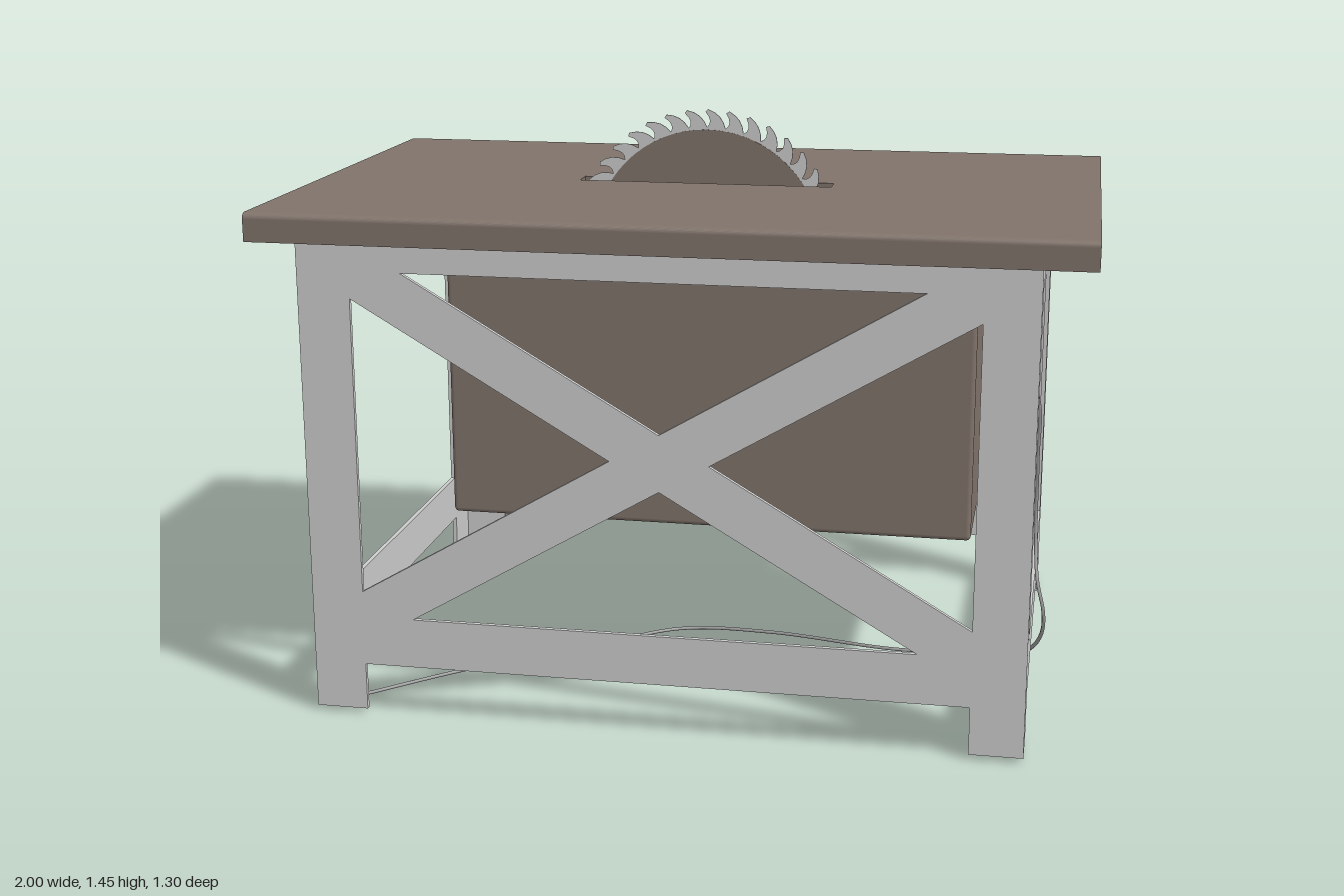
import * as THREE from 'three';
import { RoundedBoxGeometry } from 'three/addons/geometries/RoundedBoxGeometry.js';

const mat = (color) => new THREE.MeshStandardMaterial({ color });
const V = (x, y, z) => new THREE.Vector3(x, y, z);
const poly = (pts) => new THREE.Shape(pts.map(([x, y]) => new THREE.Vector2(x, y)));
const extrude = (shape, depth) =>
  new THREE.ExtrudeGeometry(shape, { depth, bevelEnabled: false, curveSegments: 8 });

function add(parent, name, geometry, material, x = 0, y = 0, z = 0) {
  const mesh = new THREE.Mesh(geometry, material);
  mesh.name = name;
  mesh.position.set(x, y, z);
  parent.add(mesh);
  return mesh;
}

function group(parent, name) {
  const g = new THREE.Group();
  g.name = name;
  parent.add(g);
  return g;
}

// Rectangle outline with rounded corners, centred on the origin
function roundRect(w, h, r) {
  const s = new THREE.Shape();
  const x = w / 2 - r, y = h / 2 - r;
  s.absarc(x, y, r, 0, Math.PI / 2);
  s.absarc(-x, y, r, Math.PI / 2, Math.PI);
  s.absarc(-x, -y, r, Math.PI, Math.PI * 1.5);
  s.absarc(x, -y, r, Math.PI * 1.5, Math.PI * 2);
  s.closePath();
  return s;
}

export function createModel() {
  const model = new THREE.Group();
  model.name = 'tableSaw';
  const steel = mat(0xcccccc);
  const brown = mat(0x80736a);
  const yellow = mat(0xd0960f);
  const red = mat(0xa82018);
  const dark = mat(0x2a1a18);
  const rubber = mat(0x999999);

  // Table top: sheet with a blade slot and folded lips at front and back
  const table = group(model, 'tableTop');
  const sheet = poly([[-1, -0.635], [1, -0.635], [1, 0.635], [-1, 0.635]]);
  sheet.holes.push(poly([[-0.33, -0.027], [-0.33, 0.032], [0.325, 0.032], [0.325, -0.027]]));
  add(table, 'topSheet', extrude(sheet, 0.01).rotateX(-Math.PI / 2), brown, 0, 1.255, 0);
  const lip = new THREE.Shape();
  lip.moveTo(0.65, 1.195);
  lip.lineTo(0.65, 1.25);
  lip.absarc(0.635, 1.25, 0.015, 0, Math.PI / 2);
  lip.lineTo(0.635, 1.255);
  lip.lineTo(0.641, 1.25);
  lip.lineTo(0.641, 1.195);
  for (const s of [-1, 1]) {
    const g = extrude(lip, 2).translate(0, 0, -1).rotateY(-s * Math.PI / 2);
    add(table, s > 0 ? 'frontLip' : 'backLip', g, brown);
  }

  // Stand: angle-section legs, flat rails and crossed braces
  const frame = group(model, 'frame');
  const X = 0.877, Z = 0.637, W = 0.13, T = 0.012, BOTTOM = 0.015, TOP = 1.254;
  for (const sx of [-1, 1]) {
    for (const sz of [-1, 1]) {
      const pts = [[0, 0], [W, 0], [W, T], [T, T], [T, W], [0, W]]
        .map(([a, b]) => [sx * (X - a), sz * (Z - b)]);
      const g = extrude(poly(pts), TOP - BOTTOM).rotateX(-Math.PI / 2);
      add(frame, 'leg', g, steel, 0, BOTTOM, 0);
    }
  }
  const rails = [[0.135, 0.26], [1.13, TOP]];
  for (const s of [-1, 1]) {
    for (const [lo, hi] of rails) {
      add(frame, 'longRail', new THREE.BoxGeometry(2 * (X - W), hi - lo, T), steel,
        0, (lo + hi) / 2, s * (Z - T / 2));
      add(frame, 'sideRail', new THREE.BoxGeometry(T, hi - lo, 2 * (Z - W)), steel,
        s * (X - T / 2), (lo + hi) / 2, 0);
    }
  }
  // Cross outline: one quarter mirrored around the middle
  const quarter = [[0.12, 0], [0.748, 0.37], [0.748, 0.435], [0.62, 0.435], [0, 0.07]];
  const flip = (sx, sy) => quarter.map(([x, y]) => [sx * x, sy * y]);
  const cross = [
    ...flip(1, 1),
    ...flip(-1, 1).reverse().slice(1),
    ...flip(-1, -1).slice(1),
    ...flip(1, -1).reverse().slice(1, -1),
  ];
  for (const s of [-1, 1]) {
    add(frame, s > 0 ? 'frontCrossBrace' : 'backCrossBrace',
      extrude(poly(cross), T), steel, 0, 0.695, s * (Z - T / 2) - T / 2);
  }

  // Machine housing: open-topped box hung under the table
  const housing = group(model, 'housing');
  const CX = 0.055;
  const walls = roundRect(1.33, 0.62, 0.012);
  walls.holes.push(roundRect(1.31, 0.6, 0.008));
  add(housing, 'walls', extrude(walls, 0.805).rotateX(-Math.PI / 2), brown, CX, 0.45, 0);
  add(housing, 'floor', new RoundedBoxGeometry(1.33, 0.03, 0.62, 3, 0.012), brown, CX, 0.45, 0);
  // Vent louvres on the right-hand end
  const louvre = poly([[0, 0], [0, 0.035], [-0.02, 0.008], [-0.02, 0]]);
  for (let i = 0; i < 4; i++) {
    add(housing, 'ventLouvre', extrude(louvre, 0.28), brown, -0.609, 0.945 - i * 0.08, -0.14);
  }

  // Saw blade: thin disc with a ring of hooked teeth
  const blade = group(model, 'sawBlade');
  blade.position.set(0, 1.1, 0);
  add(blade, 'bladeDisc', new THREE.CylinderGeometry(0.3, 0.3, 0.006, 64).rotateX(Math.PI / 2), brown);
  const teeth = new THREE.Shape();
  const N = 40, step = (Math.PI * 2) / N;
  const at = (r, a) => [r * Math.cos(a), r * Math.sin(a)];
  teeth.moveTo(...at(0.306, 0));
  for (let i = 0; i < N; i++) {
    const a = i * step;
    teeth.quadraticCurveTo(...at(0.342, a + step * 0.25), ...at(0.352, a + step * 0.95));
    teeth.lineTo(...at(0.346, a + step * 1.08));
    teeth.quadraticCurveTo(...at(0.322, a + step * 0.65), ...at(0.306, a + step));
  }
  const ring = new THREE.ExtrudeGeometry(teeth, { depth: 0.004, bevelEnabled: false, curveSegments: 4 });
  add(blade, 'bladeTeeth', ring, steel, 0, 0, -0.002);

  // Power socket with a framed warning triangle
  const power = group(model, 'powerSocket');
  power.position.set(0.765, 1.08, 0.02);
  add(power, 'socketBox', new THREE.BoxGeometry(0.09, 0.1, 0.092), yellow);
  const rim = poly([[-0.046, -0.05], [0.046, -0.05], [0.046, 0.05], [-0.046, 0.05]]);
  rim.holes.push(poly([[-0.034, -0.037], [-0.034, 0.037], [0.034, 0.037], [0.034, -0.037]]));
  add(power, 'socketRim', extrude(rim, 0.008).rotateY(Math.PI / 2), yellow, 0.045);
  const sign = poly([[-0.026, -0.028], [0.026, -0.028], [0, 0.03]]);
  sign.holes.push(poly([[-0.019, -0.024], [0, 0.02], [0.019, -0.024]]));
  add(power, 'warningTriangle', extrude(sign, 0.004).rotateY(Math.PI / 2), dark, 0.045);

  // Plug with dark grip grooves
  const plug = group(model, 'plug');
  plug.position.set(0.765, 0.91, 0.02);
  const profile = [[0, 0], [0.017, 0], [0.02, 0.018], [0.034, 0.045], [0.038, 0.06], [0.038, 0.121]];
  const plugBody = new THREE.LatheGeometry(profile.map(([r, y]) => new THREE.Vector2(r, y)), 12);
  add(plug, 'plugBody', plugBody, red);
  for (let i = 0; i < 6; i++) {
    const a = (i + 0.5) * Math.PI / 3;
    const groove = add(plug, 'gripGroove', new THREE.BoxGeometry(0.006, 0.05, 0.012), dark,
      0.036 * Math.cos(a), 0.093, 0.036 * Math.sin(a));
    groove.rotation.y = -a;
  }

  // Cable: hangs from the plug, then lies along the floor
  const path = new THREE.CatmullRomCurve3([
    V(0.765, 0.915, 0.02), V(0.80, 0.84, 0.018), V(0.865, 0.74, 0.017), V(0.872, 0.57, 0),
    V(0.873, 0.43, -0.02), V(0.876, 0.33, 0), V(0.885, 0.25, 0.055), V(0.904, 0.17, 0.074),
    V(0.9, 0.1, 0.05), V(0.87, 0.045, 0.02), V(0.81, 0.012, 0.01), V(0.72, 0.008, -0.01),
    V(0.5, 0.012, 0), V(0.17, 0.014, -0.055), V(-0.08, 0.013, -0.04), V(-0.33, 0.013, 0.17),
    V(-0.56, 0.013, 0.33), V(-0.78, 0.013, 0.54),
  ]);
  add(model, 'cable', new THREE.TubeGeometry(path, 140, 0.005, 6), rubber);

  return model;
}
